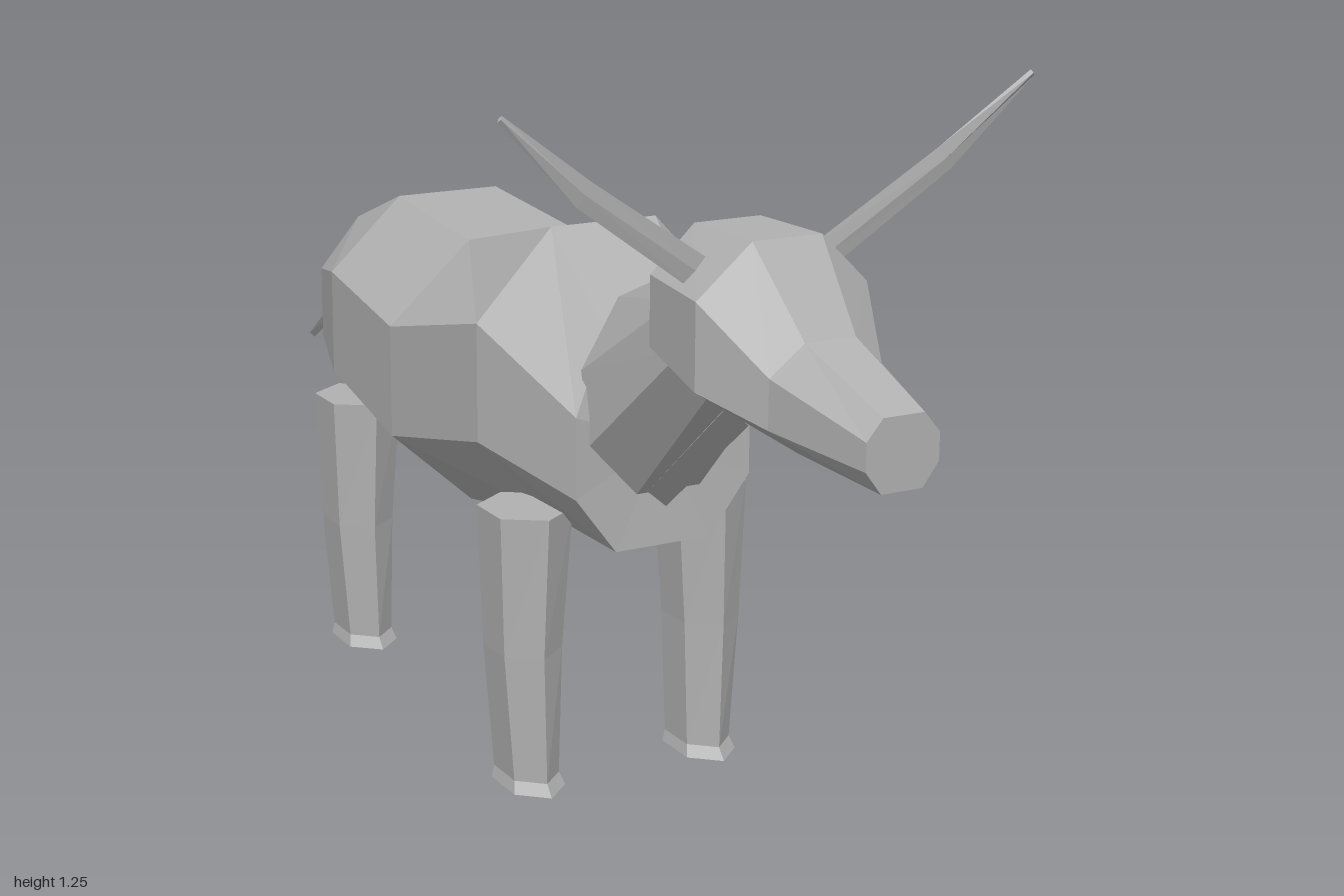
import * as THREE from 'three';

const hide = new THREE.MeshStandardMaterial({ color: 0xb0b0b0, flatShading: true });
hide.name = 'grey hide';

// Skin a list of rings (counter-clockwise seen from the last ring) and cap both ends.
function loft(name, rings) {
  const pos = [];
  const tri = (...p) => p.forEach((v) => pos.push(...v));
  const n = rings[0].length;
  const centre = (r) => [0, 1, 2].map((k) => r.reduce((s, p) => s + p[k], 0) / n);
  const last = rings.length - 1;
  for (let j = 0; j < n; j++) {
    const k = (j + 1) % n;
    for (let i = 0; i < last; i++) {
      const a = rings[i][j], b = rings[i][k], c = rings[i + 1][k], d = rings[i + 1][j];
      tri(a, b, c, a, c, d);
    }
    tri(centre(rings[0]), rings[0][k], rings[0][j]);
    tri(centre(rings[last]), rings[last][j], rings[last][k]);
  }
  const g = new THREE.BufferGeometry();
  g.setAttribute('position', new THREE.Float32BufferAttribute(pos, 3));
  g.computeVertexNormals();
  const mesh = new THREE.Mesh(g, hide);
  mesh.name = name;
  return mesh;
}

// Octagon facing +z: centre x, half width, half width of the flat top and bottom,
// then [y, z] for the bottom, lower side, upper side and top edges.
function octagon(cx, w, t, bottom, lower, upper, top) {
  const right = [[t, bottom], [w, lower], [w, upper], [t, top]];
  const point = (s) => ([x, [y, z]]) => [cx + s * x, y, z];
  return [...right.map(point(1)), ...right.reverse().map(point(-1))];
}

// Four-sided diamond facing +z.
const diamond = (x, y, z, w, h) => [[x + w, y, z], [x, y + h, z], [x - w, y, z], [x, y - h, z]];

// Horizontal hexagon with points to the front and back.
function hexagon(cx, y, cz, w, d) {
  return Array.from({ length: 6 }, (_, i) => {
    const a = Math.PI / 6 + (i * Math.PI) / 3;
    return [cx + (w * Math.cos(a)) / Math.cos(Math.PI / 6), y, cz - d * Math.sin(a)];
  });
}

export function createModel() {
  const model = new THREE.Group();
  model.name = 'hornedAnimal';

  // Barrel body, rump to chest: z, half width, flat half width, four heights, top z
  const body = [
    [-0.69, 0.16, 0.08, 0.50, 0.59, 0.725, 0.82],
    [-0.45, 0.24, 0.10, 0.45, 0.585, 0.775, 0.905],
    [-0.145, 0.26, 0.105, 0.40, 0.54, 0.74, 0.88],
    [0.16, 0.24, 0.10, 0.455, 0.605, 0.81, 0.96],
    [0.37, 0.165, 0.09, 0.45, 0.55, 0.69, 0.82, 0.33],
  ];
  model.add(loft('body', body.map(([z, w, t, b, l, u, top, zTop = z]) =>
    octagon(-0.01, w, t, [b, z], [l, z], [u, z], [top, zTop]))));

  // Neck rising to the head
  model.add(loft('neck', [
    octagon(-0.01, 0.14, 0.06, [0.55, 0.385], [0.64, 0.37], [0.76, 0.34], [0.87, 0.32]),
    octagon(0, 0.11, 0.055, [0.80, 0.62], [0.85, 0.60], [0.92, 0.57], [0.97, 0.54]),
  ]));

  // Loose skin fold under the throat
  model.add(loft('throatFold', [
    diamond(-0.02, 0.555, 0.395, 0.035, 0.03),
    diamond(-0.025, 0.765, 0.655, 0.04, 0.035),
  ]));

  // Head: back of the skull, crown, brow, muzzle
  model.add(loft('head', [
    octagon(-0.005, 0.135, 0.06, [0.82, 0.60], [0.845, 0.545], [0.96, 0.545], [1.035, 0.55]),
    octagon(0.003, 0.153, 0.062, [0.775, 0.70], [0.81, 0.70], [0.95, 0.70], [1.035, 0.71]),
    octagon(0.012, 0.10, 0.045, [0.727, 0.81], [0.77, 0.81], [0.85, 0.81], [0.90, 0.82]),
    octagon(0.022, 0.064, 0.036, [0.713, 1], [0.75, 1], [0.795, 1], [0.828, 1]),
  ]));

  // Flat swept horns: x, y, z, half width across the blade
  const horn = [[0.09, 0.965, 0.635, 0.027], [0.32, 1.122, 0.665, 0.022], [0.467, 1.248, 0.685, 0.006]];
  for (const s of [1, -1]) {
    const rings = horn.map(([x, y, z, h]) => {
      const dx = h * 0.6, dy = h * 0.8;
      const ring = [[s * (x - dx), y + dy, z], [s * x, y, z + 0.004],
        [s * (x + dx), y - dy, z], [s * x, y, z - 0.004]];
      return s > 0 ? ring : ring.reverse();
    });
    model.add(loft(s > 0 ? 'leftHorn' : 'rightHorn', rings));
  }

  // Drooping tail, tip to root
  model.add(loft('tail', [
    diamond(-0.06, 0.515, -1, 0.01, 0.01),
    diamond(-0.035, 0.635, -0.86, 0.02, 0.025),
    diamond(-0.015, 0.745, -0.68, 0.027, 0.035),
  ]));

  // Tapered legs with small flared feet
  for (const [name, z, foot, top] of [['front', 0.203, 0, 0.495], ['hind', -0.495, 0.035, 0.52]]) {
    for (const s of [1, -1]) {
      const x = -0.013 + s * 0.171;
      model.add(loft(name + (s > 0 ? 'LeftLeg' : 'RightLeg'), [
        hexagon(x, foot, z + 0.01, 0.049, 0.088),
        hexagon(x, foot + 0.02, z + 0.003, 0.043, 0.078),
        hexagon(x + s * 0.005, (foot + top) / 2, z, 0.055, 0.081),
        hexagon(x, top, z, 0.068, 0.09),
      ]));
    }
  }
  return model;
}
